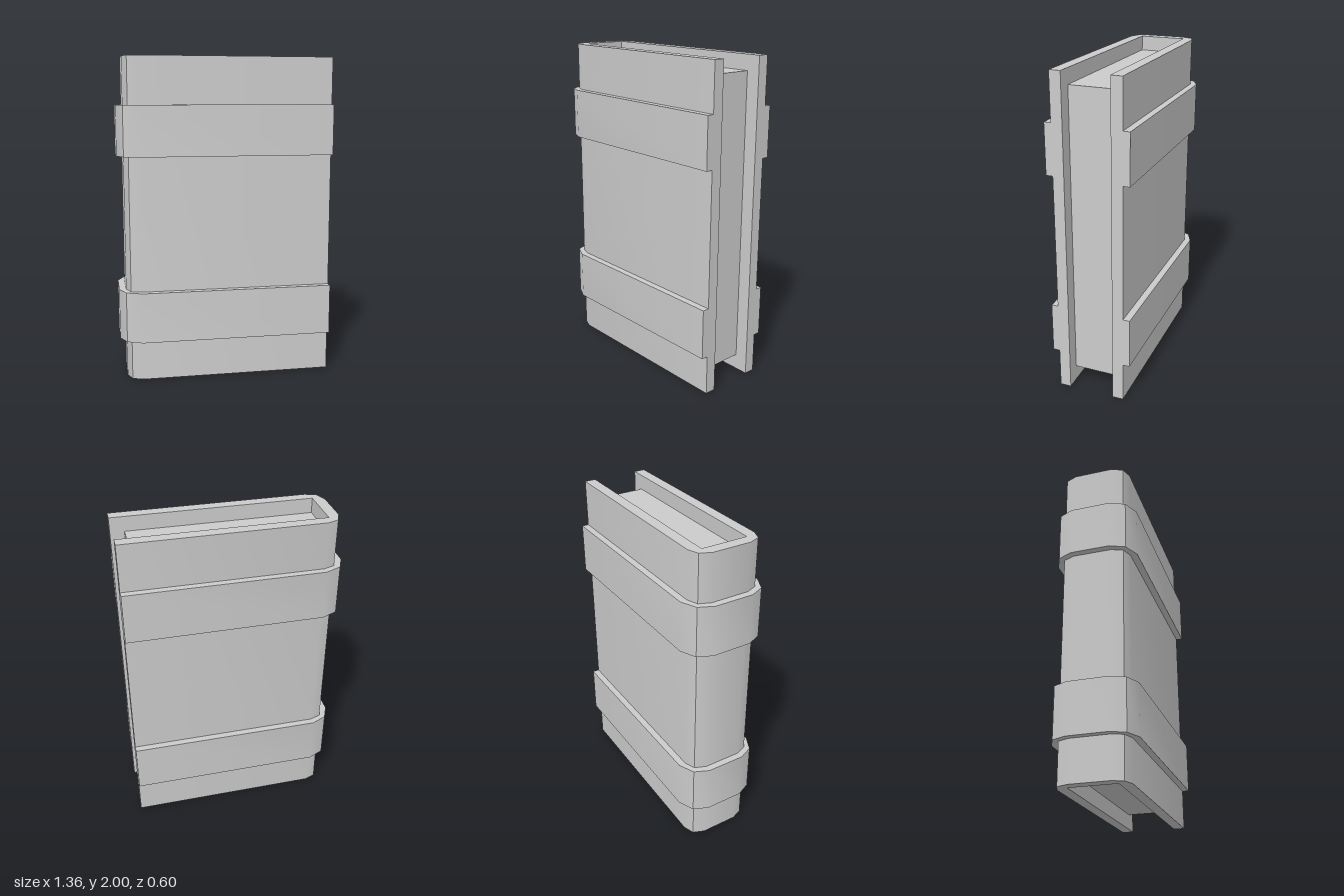
import * as THREE from 'three';
import { toCreasedNormals } from 'three/addons/utils/BufferGeometryUtils.js';

const FORE = 0.662; // fore edge of the boards

// One half of each U-shaped outline, from the board towards the spine
const inner = [[-0.561, 0.143]];
const cover = [[-0.535, 0.212], [-0.602, 0.187], [-0.63, 0.118]];
const strap = [[-0.536, 0.254], [-0.632, 0.21], [-0.672, 0.121]];

// Full open path round the spine, from one fore edge to the other
function uPath(half) {
  const side = [[FORE, half[0][1]], ...half];
  return [...side, ...side.map(([x, y]) => [x, -y]).reverse()]
    .map(([x, y]) => new THREE.Vector2(x, y));
}

// U-shaped band between two paths, extruded from y0 to y1
function band(name, outside, inside, y0, y1, material) {
  const shape = new THREE.Shape([...uPath(outside), ...uPath(inside).reverse()]);
  const geo = new THREE.ExtrudeGeometry(shape, { depth: y1 - y0, bevelEnabled: false });
  geo.rotateX(-Math.PI / 2);
  geo.translate(0, y0, 0);
  const mesh = new THREE.Mesh(toCreasedNormals(geo, 0.6), material);
  mesh.name = name;
  return mesh;
}

export function createModel() {
  const material = new THREE.MeshStandardMaterial({ color: 0xcccccc });
  const book = new THREE.Group();
  book.name = 'book';

  // Boards and spine in one wrap
  book.add(band('cover', cover, inner, -1, 1, material));

  // Two raised straps round the cover
  book.add(band('lowerStrap', strap, cover, -0.75, -0.435, material));
  book.add(band('upperStrap', strap, cover, 0.4, 0.71, material));

  // Recessed page block
  const pages = new THREE.Mesh(new THREE.BoxGeometry(1.138, 1.81, 0.286), material);
  pages.name = 'pages';
  pages.position.set(0.008, 0.003, 0);
  book.add(pages);

  // The book stands slightly turned and leaning
  book.rotation.set(-0.005, 0.075, 0);
  book.position.y = 1;

  const model = new THREE.Group();
  model.name = 'standingBook';
  model.add(book);
  return model;
}
